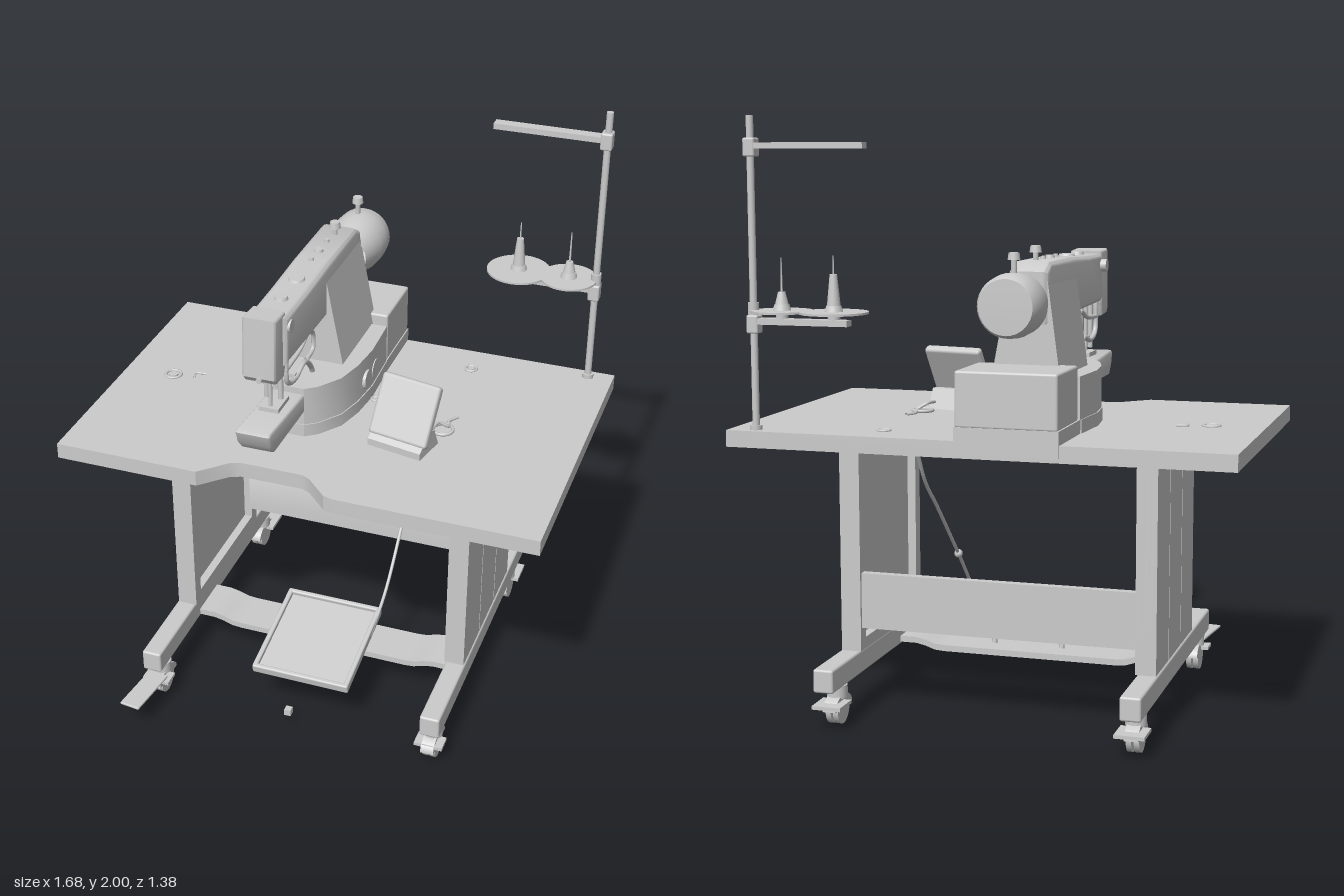
import * as THREE from 'three';
import { toCreasedNormals } from 'three/addons/utils/BufferGeometryUtils.js';
import { RoundedBoxGeometry } from 'three/addons/geometries/RoundedBoxGeometry.js';

const mat = new THREE.MeshStandardMaterial({ color: 0xcccccc, side: THREE.DoubleSide });
const V = (x, y, z) => new THREE.Vector3(x, y, z);

function add(parent, name, geo, x = 0, y = 0, z = 0) {
  const m = new THREE.Mesh(geo, mat);
  m.name = name;
  m.position.set(x, y, z);
  parent.add(m);
  return m;
}
// Box given by its extents
function box(parent, name, x0, x1, y0, y1, z0, z1) {
  return add(parent, name, new THREE.BoxGeometry(x1 - x0, y1 - y0, z1 - z0),
    (x0 + x1) / 2, (y0 + y1) / 2, (z0 + z1) / 2);
}
// Upright cylinder standing on y
function post(parent, name, x, y, z, r, h, rTop = r, seg = 20) {
  return add(parent, name, new THREE.CylinderGeometry(rTop, r, h, seg), x, y + h / 2, z);
}
function tube(parent, name, pts, r, closed = false) {
  const curve = new THREE.CatmullRomCurve3(pts.map(p => V(...p)), closed);
  return add(parent, name, new THREE.TubeGeometry(curve, 32, r, 8, closed));
}
// Plan outline [x, z] raised from y0 to y1
function plan(pts, y0, y1) {
  const s = new THREE.Shape(pts.map(([x, z]) => new THREE.Vector2(x, -z)));
  const g = new THREE.ExtrudeGeometry(s, { depth: y1 - y0, bevelEnabled: false });
  return toCreasedNormals(g.rotateX(-Math.PI / 2).translate(0, y0, 0), 0.5);
}
// Side outline [z, y] extruded across x with a bevel
function side(pts, x0, x1, bevel = 0) {
  const s = new THREE.Shape(pts.map(([z, y]) => new THREE.Vector2(z, y)));
  const g = new THREE.ExtrudeGeometry(s, {
    depth: x1 - x0 - 2 * bevel, bevelEnabled: bevel > 0, bevelSize: bevel,
    bevelThickness: bevel, bevelOffset: -bevel, bevelSegments: 3 });
  return toCreasedNormals(g.rotateY(-Math.PI / 2).translate(x1 - bevel, 0, 0), 0.6);
}

function buildCaster(parent, x, z, dir) {
  const c = new THREE.Group();
  c.name = 'caster';
  c.position.set(x, 0, z);
  parent.add(c);
  for (const s of [-1, 1])
    add(c, 'casterWheel', new THREE.CylinderGeometry(0.05, 0.05, 0.018, 24).rotateZ(Math.PI / 2), s * 0.013, 0.05, 0);
  add(c, 'casterHood', new THREE.CylinderGeometry(0.045, 0.045, 0.046, 24, 1, false, 0, Math.PI)
    .rotateZ(Math.PI / 2).scale(1, 1, 1.6), 0, 0.055, 0);
  post(c, 'casterStem', 0, 0.09, 0, 0.035, 0.042);
  box(c, 'brakeLever', -0.05, 0.05, 0.07, 0.082, Math.min(0, dir * 0.1), Math.max(0, dir * 0.1));
}

function buildStand(root) {
  const g = new THREE.Group();
  g.name = 'stand';
  root.add(g);
  for (const s of [-1, 1]) {
    const b = (name, a, c, ...r) => box(g, name, Math.min(s * a, s * c), Math.max(s * a, s * c), ...r);
    // Channel-shaped side leg with two grooves outside
    for (const [z0, z1] of [[-0.39, -0.199], [-0.193, -0.003], [0.003, 0.2]])
      b('legOuterPanel', 0.525, 0.545, 0.21, 0.935, z0, z1);
    b('legInnerPanel', 0.505, 0.525, 0.21, 0.935, -0.39, 0.2);
    b('legFrontFlange', 0.475, 0.506, 0.21, 0.935, 0.155, 0.2);
    b('legBackFlange', 0.475, 0.506, 0.21, 0.935, -0.39, -0.345);
    b('legTopRail', 0.475, 0.506, 0.88, 0.935, -0.345, 0.155);
    b('legBottomRail', 0.475, 0.506, 0.21, 0.25, -0.345, 0.155);
    add(g, 'foot', new RoundedBoxGeometry(0.07, 0.08, 1.14, 2, 0.008), s * 0.515, 0.17, -0.06);
    buildCaster(g, s * 0.51, 0.44, 0.6);
    buildCaster(g, s * 0.51, -0.52, -1);
  }
  const tongue = add(g, 'footLever', new RoundedBoxGeometry(0.075, 0.01, 0.2, 2, 0.004), -0.515, 0.1, 0.58);
  tongue.rotation.y = -0.12;
  add(g, 'crossBeam', side([[-0.38, 0.29], [-0.34, 0.29], [-0.34, 0.46], [-0.35, 0.48], [-0.38, 0.48]], -0.48, 0.48));
  // Low stretcher that dips in the middle
  const bar = new THREE.BoxGeometry(0.98, 0.022, 0.16, 28, 1, 1);
  const p = bar.attributes.position;
  for (let i = 0; i < p.count; i++)
    p.setY(i, p.getY(i) + 0.022 * THREE.MathUtils.smoothstep(Math.abs(p.getX(i)), 0.33, 0.42));
  bar.computeVertexNormals();
  add(g, 'lowerStretcher', toCreasedNormals(bar, 0.5), 0, 0.128, 0.08);

  // Tilted foot pedal with raised rim
  const pedal = new THREE.Group();
  pedal.name = 'pedal';
  pedal.position.set(0.027, 0.235, 0.27);
  pedal.rotation.x = 0.2;
  g.add(pedal);
  add(pedal, 'pedalPlate', new THREE.BoxGeometry(0.33, 0.016, 0.36));
  for (const s of [-1, 1]) {
    add(pedal, 'pedalSideRim', new RoundedBoxGeometry(0.018, 0.034, 0.38, 2, 0.006), s * 0.168, 0.006, 0);
    add(pedal, 'pedalEndRim', new RoundedBoxGeometry(0.354, 0.034, 0.018, 2, 0.006), 0, 0.006, s * 0.182);
  }
  for (const x of [-0.1, 0.15]) tube(g, 'pedalHinge', [[x, 0.14, 0.08], [x, 0.19, 0.09], [x, 0.27, 0.12]], 0.01);
  tube(g, 'pedalRod', [[0.2, 0.25, 0.2], [0.2, 0.33, 0.03], [0.2, 0.52, -0.17], [0.2, 0.73, -0.39], [0.2, 0.83, -0.5], [0.2, 0.94, -0.57]], 0.006);
  add(g, 'rodJoint', new THREE.SphereGeometry(0.015, 12, 8), 0.2, 0.52, -0.17);
}

function buildTable(root) {
  add(root, 'tableTop', plan([[-0.84, -0.63], [0.84, -0.63], [0.84, 0.46], [0.15, 0.46], [0.115, 0.45], [0.04, 0.375],
    [0.01, 0.36], [-0.21, 0.36], [-0.245, 0.375], [-0.33, 0.46], [-0.84, 0.46]], 0.935, 0.99));
  for (const [x, z, r] of [[-0.66, -0.1, 0.028], [0.34, -0.5, 0.02], [0.145, -0.18, 0.02], [0.08, -0.18, 0.012]]) {
    add(root, 'tableGrommet', new THREE.TorusGeometry(r, 0.005, 8, 20).rotateX(Math.PI / 2), x, 0.992, z);
    post(root, 'tablePlug', x, 0.99, z, r * 0.6, 0.005);
  }
  tube(root, 'tableHook', [[-0.55, 0.993, -0.14], [-0.585, 0.993, -0.13], [-0.58, 0.993, -0.1]], 0.004);
  box(root, 'floorBlock', -0.027, -0.003, 0.038, 0.062, 0.448, 0.472);
}

function buildMachine(root) {
  const g = new THREE.Group();
  g.name = 'sewingMachine';
  root.add(g);
  const bed = [[-0.27, -0.38], [-0.285, -0.38], [-0.295, -0.2], [-0.28, -0.08], [-0.25, 0.02], [-0.21, 0.1], [-0.185, 0.13],
    [-0.07, 0.13], [-0.03, 0.1], [0.025, 0.02], [0.05, -0.08], [0.062, -0.2], [0.055, -0.38]];
  add(g, 'bedBody', plan(bed, 1.03, 1.175));
  const grown = bed.map(([x, z]) => [-0.115 + (x + 0.115) * 1.02, z + 0.004]);
  add(g, 'bedPlinth', plan(grown, 0.96, 1.035));
  box(g, 'rearPlinth', -0.285, 0.057, 0.95, 1.035, -0.635, -0.37);
  add(g, 'rearHousing', new RoundedBoxGeometry(0.335, 0.18, 0.245, 2, 0.008), -0.113, 1.122, -0.512);
  add(g, 'bedArm', side([[0.05, 1.08], [0.4, 1.085], [0.43, 1.12], [0.445, 1.165], [0.43, 1.172], [0.1, 1.15], [0.05, 1.15]],
    -0.19, -0.07, 0.008));
  for (const z of [-0.15, -0.23])
    add(g, 'bedCap', new THREE.CylinderGeometry(0.035, 0.035, 0.02, 24).rotateZ(Math.PI / 2), 0.055, 1.085, z);

  // Column flares towards the bed
  const col = new THREE.BoxGeometry(1, 0.34, 0.35);
  const p = col.attributes.position;
  for (let i = 0; i < p.count; i++) {
    const top = p.getY(i) > 0, right = p.getX(i) > 0;
    p.setX(i, top ? (right ? -0.065 : -0.185) : (right ? 0 : -0.23));
  }
  col.computeVertexNormals();
  add(g, 'column', col, 0, 1.335, -0.245);

  add(g, 'upperArm', side([[-0.43, 1.34], [0.28, 1.36], [0.3, 1.355], [0.3, 1.53], [0.1, 1.532], [-0.1, 1.54], [-0.38, 1.54],
    [-0.43, 1.51]], -0.19, -0.06, 0.018));
  add(g, 'headCover', side([[0.29, 1.31], [0.355, 1.315], [0.37, 1.335], [0.36, 1.545], [0.27, 1.54], [0.27, 1.36]],
    -0.19, -0.075, 0.008));
  for (const s of [-1, 1])
    add(g, 'headScrew', new THREE.CylinderGeometry(0.022, 0.022, 0.025, 16).rotateZ(Math.PI / 2), -0.132 + s * 0.066, 1.49, 0.27);
  add(g, 'faceScrew', new THREE.CylinderGeometry(0.01, 0.01, 0.012, 12).rotateX(Math.PI / 2), -0.13, 1.33, 0.372);

  // Rounded motor housing behind the column
  const drum = [[0.075, 0], [0.088, 0.05], [0.1, 0.09], [0.103, 0.15], [0.098, 0.2], [0.088, 0.22], [0, 0.222]]
    .map(a => new THREE.Vector2(...a));
  add(g, 'motorDrum', toCreasedNormals(new THREE.LatheGeometry(drum, 32).rotateX(-Math.PI / 2), 0.8), -0.112, 1.412, -0.41);

  // Knobs and caps along the top
  for (const [z, y, h] of [[-0.555, 1.5, 0.055], [-0.315, 1.53, 0.035]]) {
    post(g, 'knobStem', -0.118, y, z, 0.009, h);
    post(g, 'knobHead', -0.118, y + h, z, 0.02, 0.022, 0.017);
  }
  for (const [z, r, y] of [[0.04, 0.032, 1.527], [0.18, 0.025, 1.527], [-0.1, 0.01, 1.535], [-0.17, 0.018, 1.535], [-0.25, 0.01, 1.535]])
    post(g, 'topCap', -0.125, y, z, r, 0.015, r * 0.8);

  // Needle, presser bars and linkages under the head
  for (const [x, z, r, y] of [[-0.13, 0.28, 0.007, 1.17], [-0.155, 0.25, 0.009, 1.2], [-0.105, 0.25, 0.009, 1.2], [-0.13, 0.22, 0.006, 1.22]])
    post(g, 'needleBar', x, y, z, r, 1.37 - y);
  box(g, 'presserFoot', -0.165, -0.095, 1.17, 1.185, 0.2, 0.3);
  for (const x of [-0.175, -0.085]) {
    tube(g, 'presserLink', [[x, 1.36, 0.25], [x, 1.26, 0.24], [x, 1.235, 0.17], [x, 1.25, 0.08], [x, 1.2, 0.02], [x, 1.16, 0]], 0.009);
    tube(g, 'guardLoop', [[x, 1.31, 0.26], [x, 1.32, 0.12], [x, 1.345, 0.04], [x, 1.32, 0], [x, 1.26, 0], [x, 1.25, 0.06]], 0.008);
  }
  box(g, 'linkCrossbar', -0.175, -0.085, 1.235, 1.25, 0.15, 0.17);
}

function buildControlPanel(root) {
  const g = new THREE.Group();
  g.name = 'controlPanel';
  g.position.set(0.265, 0.99, 0.05);
  g.rotation.y = -0.2;
  root.add(g);
  const screen = add(g, 'screen', new RoundedBoxGeometry(0.22, 0.215, 0.035, 2, 0.012), 0, 0.125, 0);
  screen.rotation.x = -0.5;
  add(g, 'panelBase', side([[-0.05, 0], [0.08, 0], [0.08, 0.025], [0.02, 0.07], [-0.02, 0.07]], -0.1, 0.1));
  tube(root, 'panelCable', [[0.34, 1.02, -0.01], [0.35, 1.02, -0.06], [0.38, 1.0, -0.08], [0.37, 0.995, -0.12], [0.39, 0.993, -0.16]], 0.006);
  add(root, 'cableRing', new THREE.TorusGeometry(0.035, 0.006, 8, 24).rotateX(Math.PI / 2), 0.365, 0.996, -0.06);
}

function buildThreadStand(root) {
  const g = new THREE.Group();
  g.name = 'threadStand';
  root.add(g);
  const z = -0.59;
  post(g, 'pole', 0.75, 0.98, z, 0.012, 1.02);
  post(g, 'poleCollar', 0.75, 0.99, z, 0.02, 0.015);
  box(g, 'upperArm', 0.36, 0.76, 1.895, 1.915, z - 0.02, z + 0.02);
  box(g, 'lowerArm', 0.42, 0.76, 1.335, 1.355, z - 0.02, z + 0.02);
  for (const y of [1.9, 1.335])
    add(g, 'armClamp', new RoundedBoxGeometry(0.04, 0.06, 0.045, 2, 0.006), 0.748, y, z);
  post(g, 'clampScrew', 0.75, 1.365, z, 0.018, 0.04);
  // Spool plates with cone holders and pins
  for (const [x, r, cone, tip] of [[0.475, 0.112, 0.1, 1.56], [0.655, 0.1, 0.04, 1.55]]) {
    post(g, 'spoolPlate', x, 1.374, -0.58, r, 0.007, r, 40);
    post(g, 'plateBoss', x, 1.35, -0.58, 0.02, 0.03);
    post(g, 'spoolCone', x, 1.38, -0.58, 0.03, 0.02, 0.024);
    post(g, 'spoolCore', x, 1.4, -0.58, 0.022, cone, 0.012);
    post(g, 'spoolPin', x, 1.38, -0.58, 0.005, tip - 1.38, 0.002);
  }
}

export function createModel() {
  const root = new THREE.Group();
  root.name = 'sewingTable';
  buildStand(root);
  buildTable(root);
  buildMachine(root);
  buildControlPanel(root);
  buildThreadStand(root);
  return root;
}
